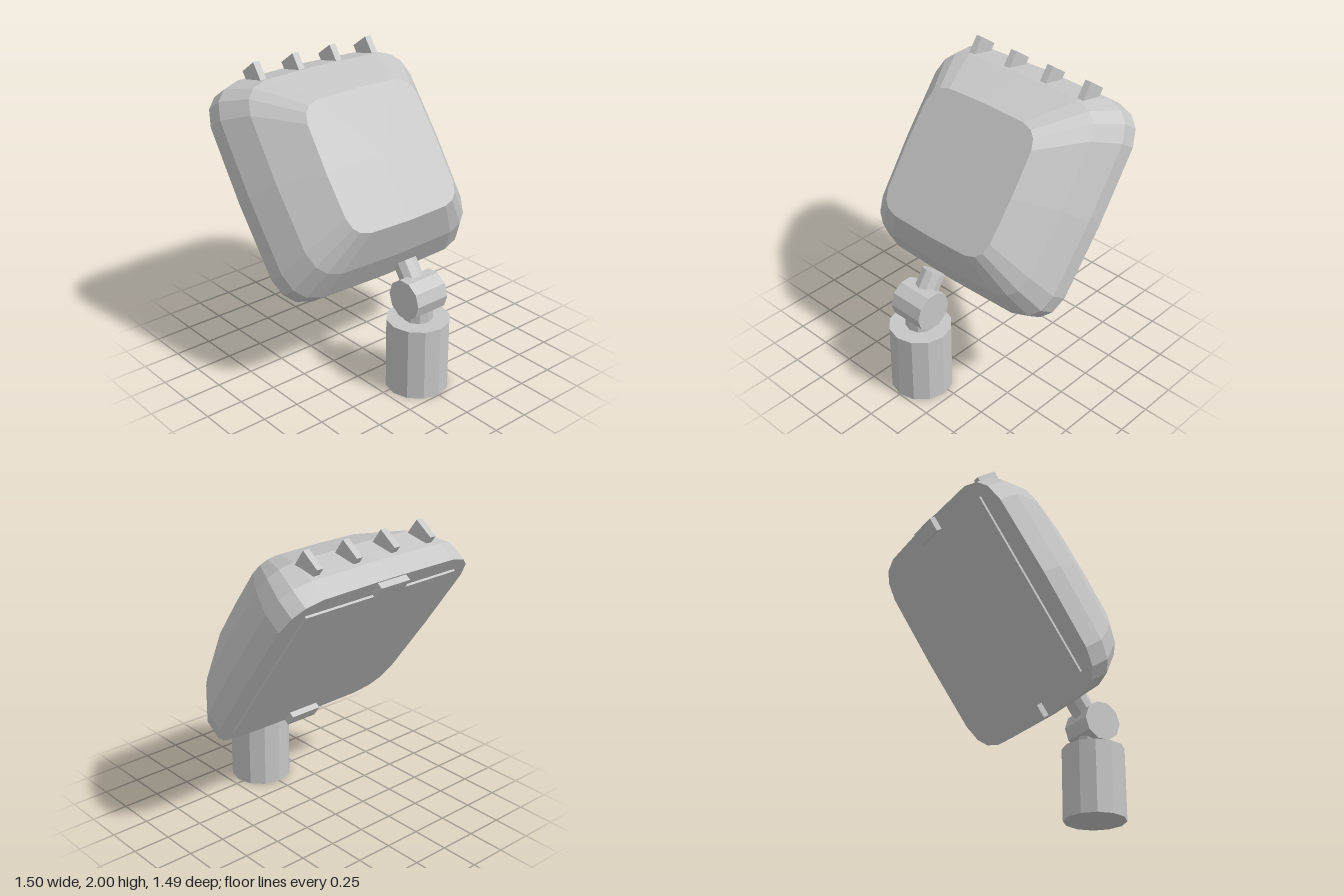
import * as THREE from 'three';

export function createModel() {
  const model = new THREE.Group();
  const gray = new THREE.MeshStandardMaterial({ color: 0xc6c6c6, flatShading: true });
  gray.name = 'light gray';

  const add = (parent, name, geometry, x, y, z) => {
    const mesh = new THREE.Mesh(geometry, gray);
    mesh.name = name;
    mesh.position.set(x, y, z);
    parent.add(mesh);
    return mesh;
  };

  // Upright mounting post, neck and knuckle joint
  add(model, 'post', new THREE.CylinderGeometry(0.204, 0.204, 0.48, 12), 0, 0.24, 0.542);
  add(model, 'neck', new THREE.CylinderGeometry(0.097, 0.097, 0.16, 10), 0, 0.53, 0.54);
  const knuckle = add(model, 'knuckle', new THREE.CylinderGeometry(0.132, 0.132, 0.246, 10), 0, 0.64, 0.54);
  knuckle.rotation.z = Math.PI / 2;

  // Lamp head leans back; its parts are placed in the tilted frame
  const head = new THREE.Group();
  head.name = 'lampHead';
  head.rotation.x = -0.616;
  model.add(head);

  add(head, 'stem', new THREE.CylinderGeometry(0.079, 0.079, 0.23, 10), 0, 0.322, 0.81);
  add(head, 'housing', housingGeometry(), 0, 0, 0);
  add(head, 'backPanel', new THREE.BoxGeometry(1.2, 1.216, 0.03), 0, 1.138, 0.453);

  // Clips at the top and bottom of the back panel
  for (const y of [0.455, 1.82]) {
    add(head, 'clip', new THREE.BoxGeometry(0.228, 0.09, 0.07), 0, y, 0.446);
  }
  // Row of fins on the top edge
  for (const x of [-0.45, -0.15, 0.15, 0.45]) {
    add(head, 'fin', new THREE.BoxGeometry(0.046, 0.166, 0.146), x, 1.823, 0.692);
  }
  return model;
}

// Closed loft through rounded-square rings, from the back to the front
function housingGeometry() {
  const sides = 20;
  const rings = [ // z, half width, half height, centre y
    [0.453, 0.75, 0.737, 1.14],
    [0.588, 0.75, 0.737, 1.138],
    [0.786, 0.66, 0.648, 1.138],
    [1.012, 0.45, 0.441, 1.093],
  ];
  const soften = (v) => (Math.abs(v) < 1e-6 ? 0 : Math.sign(v) * Math.abs(v) ** 0.32);
  const point = ([z, w, h, cy], j) => {
    const a = (j / sides) * Math.PI * 2;
    return [w * soften(Math.cos(a)), cy + h * soften(Math.sin(a)), z];
  };
  const pos = [];
  const tri = (a, b, c) => pos.push(...a, ...b, ...c);
  const back = rings[0];
  const front = rings[rings.length - 1];
  for (let j = 0; j < sides; j++) {
    for (let i = 0; i < rings.length - 1; i++) {
      const a = point(rings[i], j), b = point(rings[i], j + 1);
      const c = point(rings[i + 1], j + 1), d = point(rings[i + 1], j);
      tri(a, b, c);
      tri(a, c, d);
    }
    tri([0, back[3], back[0]], point(back, j + 1), point(back, j));
    tri([0, front[3], front[0]], point(front, j), point(front, j + 1));
  }
  const geometry = new THREE.BufferGeometry();
  geometry.setAttribute('position', new THREE.Float32BufferAttribute(pos, 3));
  geometry.computeVertexNormals();
  return geometry;
}
